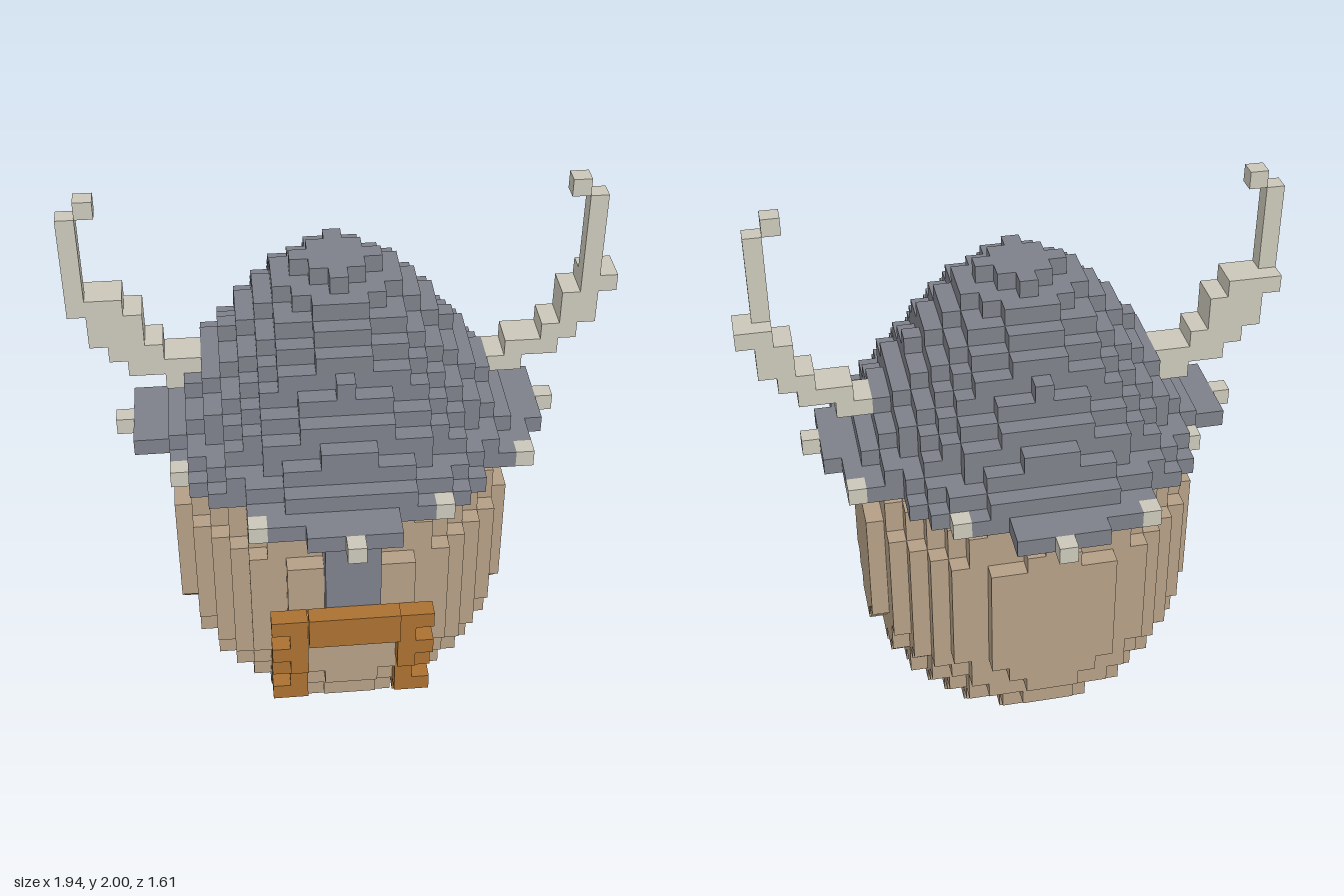
import * as THREE from 'three';

const V = 2 / 31; // edge of one cube

export function createModel() {
  const group = new THREE.Group();
  const cells = new Map(); // cube position -> part name
  const key = (i, r, j) => i + ',' + r + ',' + j;
  const fill = (part, i0, i1, r0, r1, j0, j1) => {
    for (let i = i0; i <= i1; i++)
      for (let r = r0; r <= r1; r++)
        for (let j = j0; j <= j1; j++) cells.set(key(i, r, j), part);
  };
  // one layer of a round body
  const disc = (part, row, radius) => {
    const n = Math.floor(radius);
    for (let j = -n; j <= n; j++) {
      const h = Math.floor(Math.sqrt(radius * radius - j * j));
      fill(part, -h, h, row, row, j, j);
    }
  };

  // Barrel-shaped head, from the bottom up
  [6.5, 7.5, 8.1, 8.6, 9.1, 9.25, 9.5, 9.5, 9.5, 9.5, 9.5, 9.5, 9.5, 9.1, 9.02, 8.55]
    .forEach((radius, row) => disc('head', row, radius));

  // Helmet brim: left and right reach of each strip, by distance from the middle
  const brimRight = [11, 11, 11, 10, 10, 9, 7, 7, 6, 5, 2, 2];
  const brimLeft = [11, 11, 11, 9, 9, 8, 8, 7, 5, 5, 5, 2];
  for (let j = -11; j <= 11; j++) {
    const a = Math.abs(j);
    fill('helmet', -brimLeft[a], brimRight[a], 16, 16, j, j);
  }

  // Helmet dome
  [9.5, 8.6, 8.1, 7.3, 6.5, 6.05, 5.2, 4.3, 3.2, 2.1]
    .forEach((radius, n) => disc('helmet', 17 + n, radius));

  // Rivets round the brim
  [[0, 12], [0, -12], [12, 0], [-12, 0], [5, 9], [5, -9], [10, 5], [10, -5],
    [-5, 10], [-5, -10], [-9, 5], [-9, -4]]
    .forEach(([i, j]) => fill('rivets', i, i, 16, 16, j, j));

  // Horns: [first row, last row, first column, last column, back-most layer]
  [[19, 19, 9, 10, -1], [20, 20, 10, 12, -1], [21, 21, 12, 13, -1], [22, 23, 13, 14, -1],
    [24, 24, 14, 15, -1], [25, 29, 14, 14, 0], [30, 30, 13, 13, 0]]
    .forEach(([r0, r1, i0, i1, j0]) => fill('leftHorn', i0, i1, r0, r1, j0, 0));
  [[19, 19, -9, -8, -1], [20, 20, -11, -8, -1], [21, 21, -12, -10, -1], [22, 23, -13, -11, -1],
    [24, 24, -14, -12, -1], [25, 29, -14, -14, 0], [30, 30, -13, -13, 0]]
    .forEach(([r0, r1, i0, i1, j0]) => fill('rightHorn', i0, i1, r0, r1, j0, 0));

  // Nose guard hanging from the brim
  fill('noseGuard', -1, 1, 10, 15, 10, 10);

  // Moustache: a bar and two drooping braids with knots
  fill('moustache', -2, 2, 9, 10, 11, 11);
  for (const s of [-1, 1]) {
    for (let row = 2; row <= 9; row++) {
      const j = row > 5 ? 10 : row > 2 ? 9 : 8;
      fill('moustache', 3 * s, 3 * s, row, row, j, j);
      if (row > 2 && row % 2) fill('moustache', 4 * s, 4 * s, row, row, j, j);
    }
  }

  // Outer faces of the cubes, gathered by part
  const sides = [[1, 0, 0], [-1, 0, 0], [0, 1, 0], [0, -1, 0], [0, 0, 1], [0, 0, -1]];
  const parts = {};
  for (const [k, part] of cells) {
    const c = k.split(',').map(Number);
    const out = (parts[part] ??= { position: [], normal: [] });
    for (const n of sides) {
      if (cells.has(key(c[0] + n[0], c[1] + n[1], c[2] + n[2]))) continue;
      const N = new THREE.Vector3(...n);
      const U = new THREE.Vector3(n[1], n[2], n[0]);
      const W = N.clone().cross(U);
      const mid = new THREE.Vector3(c[0] - 0.5, c[1] + 0.5, c[2]).addScaledVector(N, 0.5);
      for (const [u, w] of [[-1, -1], [1, -1], [1, 1], [-1, -1], [1, 1], [-1, 1]]) {
        const p = mid.clone().addScaledVector(U, u / 2).addScaledVector(W, w / 2);
        out.position.push(p.x * V, p.y * V, p.z * V);
        out.normal.push(...n);
      }
    }
  }

  const material = (name, color) => {
    const m = new THREE.MeshStandardMaterial({ color });
    m.name = name;
    return m;
  };
  const skin = material('skin', 0xb49f85);
  const steel = material('steel', 0x7d8089);
  const bone = material('bone', 0xcac7b9);
  const hair = material('hair', 0xaa7131);
  const paint = {
    head: skin, helmet: steel, noseGuard: steel,
    rivets: bone, leftHorn: bone, rightHorn: bone, moustache: hair,
  };
  for (const [name, data] of Object.entries(parts)) {
    const geometry = new THREE.BufferGeometry();
    geometry.setAttribute('position', new THREE.Float32BufferAttribute(data.position, 3));
    geometry.setAttribute('normal', new THREE.Float32BufferAttribute(data.normal, 3));
    const mesh = new THREE.Mesh(geometry, paint[name]);
    mesh.name = name;
    group.add(mesh);
  }
  return group;
}
